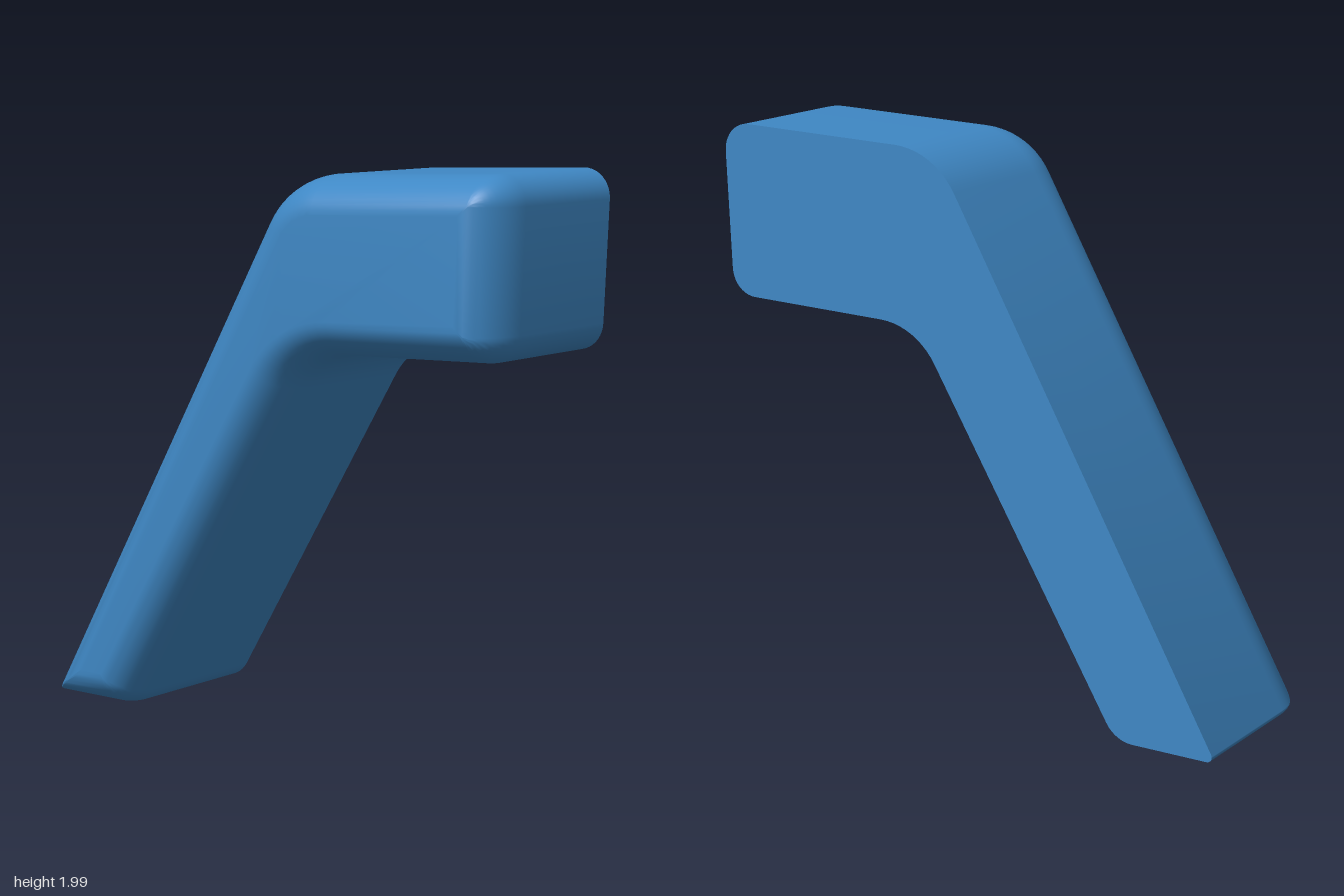
import * as THREE from 'three';
import { toCreasedNormals } from 'three/addons/utils/BufferGeometryUtils.js';

// Sharp outline of the bent handle, counter-clockwise: x, y, corner radius
const CORNERS = [
  [-1.013, 0, 0.02],
  [-0.624, 0, 0.12],
  [0.186, 1.351, 0.27],
  [0.977, 1.372, 0.1],
  [1.003, 1.993, 0.1],
  [0.104, 1.966, 0.29],
];
const ARC = 10;
const HALF_DEPTH = 0.355;
const EDGE_INSET = 0.13; // in-plane size of the rounded front edge
const EDGE_DEPTH = 0.2; // size of that rounding along z

// Outline moved inward by d, with every corner filleted
function outline(d) {
  const pts = [];
  const n = CORNERS.length;
  const at = (i) => new THREE.Vector2(...CORNERS[(i + n) % n].slice(0, 2));
  const inward = (a, b) => {
    const t = b.clone().sub(a).normalize();
    return new THREE.Vector2(-t.y, t.x);
  };
  for (let i = 0; i < n; i++) {
    const p = at(i);
    const n1 = inward(at(i - 1), p);
    const n2 = inward(p, at(i + 1));
    const turn = Math.atan2(n1.cross(n2), n1.dot(n2));
    const s = Math.sign(turn);
    const r = Math.max(CORNERS[i][2] - s * d, 0.005);
    const miter = n1.clone().add(n2).divideScalar(1 + n1.dot(n2));
    const centre = p.addScaledVector(miter, d + s * r);
    for (let k = 0; k <= ARC; k++) {
      const dir = n1.clone().rotateAround(new THREE.Vector2(), (turn * k) / ARC);
      pts.push(centre.clone().addScaledVector(dir, -s * r));
    }
  }
  return pts;
}

function handleGeometry() {
  // Flat back, straight wall, then an elliptical round to the front face
  const rings = [{ pts: outline(0), z: -HALF_DEPTH }];
  const steps = 12;
  for (let k = 0; k <= steps; k++) {
    const a = (k / steps) * Math.PI / 2;
    rings.push({
      pts: outline(EDGE_INSET * (1 - Math.cos(a))),
      z: HALF_DEPTH - EDGE_DEPTH * (1 - Math.sin(a)),
    });
  }
  const count = rings[0].pts.length;
  const pos = [];
  const index = [];
  for (const { pts, z } of rings) for (const p of pts) pos.push(p.x, p.y, z);
  for (let i = 0; i < rings.length - 1; i++) {
    for (let j = 0; j < count; j++) {
      const a = i * count + j;
      const b = i * count + ((j + 1) % count);
      index.push(a, b, b + count, a, b + count, a + count);
    }
  }
  // Back and front faces
  const last = (rings.length - 1) * count;
  for (const [a, b, c] of THREE.ShapeUtils.triangulateShape(rings[0].pts, [])) index.push(a, c, b);
  for (const [a, b, c] of THREE.ShapeUtils.triangulateShape(rings[rings.length - 1].pts, [])) {
    index.push(last + a, last + b, last + c);
  }
  const geo = new THREE.BufferGeometry();
  geo.setAttribute('position', new THREE.Float32BufferAttribute(pos, 3));
  geo.setIndex(index);
  return toCreasedNormals(geo, 0.6);
}

export function createModel() {
  const group = new THREE.Group();
  group.name = 'bentHandle';
  const body = new THREE.Mesh(handleGeometry(), new THREE.MeshStandardMaterial({ color: 0x3f88c5 }));
  body.name = 'handleBody';
  group.add(body);
  return group;
}
